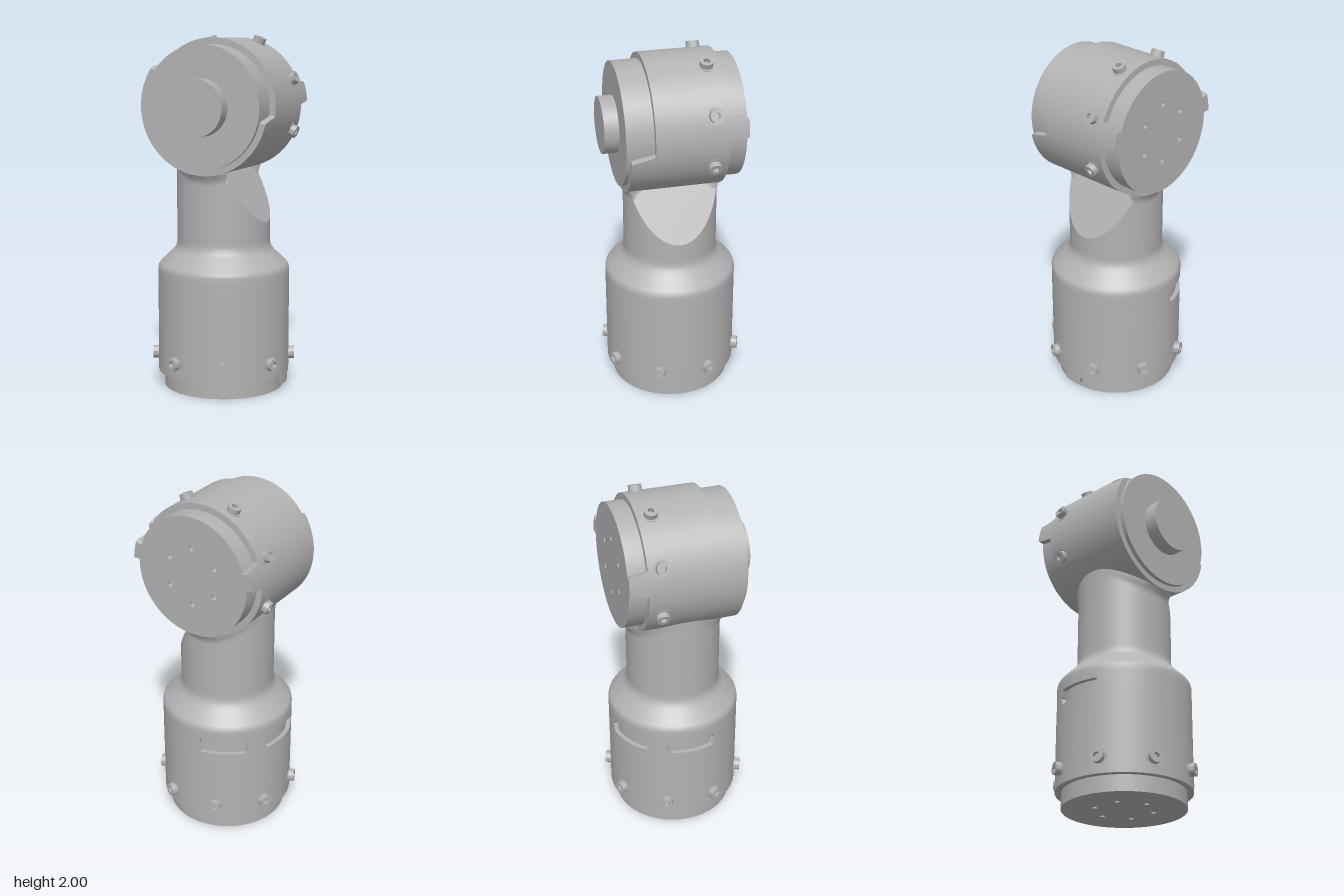
import * as THREE from 'three';
import { toCreasedNormals } from 'three/addons/utils/BufferGeometryUtils.js';

const rad = THREE.MathUtils.degToRad;
const R = 0.375;       // shell radius
const CORE = 0.34;     // inner body radius
const HEAD_Y = 1.61;   // height of the head axis

// Closed surface around y: column(deg) gives the [radius, y] points at each angle.
function revolve(n, column) {
  const pos = [], index = [];
  let rows = 0;
  for (let i = 0; i < n; i++) {
    const deg = (i * 360) / n, a = rad(deg), pts = column(deg);
    rows = pts.length;
    for (const [r, y] of pts) pos.push(r * Math.cos(a), y, -r * Math.sin(a));
  }
  for (let i = 0; i < n; i++) {
    for (let j = 0; j < rows - 1; j++) {
      const a = i * rows + j, b = ((i + 1) % n) * rows + j;
      index.push(a, b, b + 1, a, b + 1, a + 1);
    }
  }
  const g = new THREE.BufferGeometry();
  g.setAttribute('position', new THREE.Float32BufferAttribute(pos, 3));
  g.setIndex(index);
  return toCreasedNormals(g, 0.5);
}

// Ring wall whose lower and upper edges vary with the angle
function band(lo, hi) {
  return revolve(360, (d) => [[R, lo(d)], [R, hi(d)], [CORE, hi(d)], [CORE, lo(d)], [R, lo(d)]]);
}

// 1 inside centre +- half, 0 outside, with a rounded step
function tab(deg, centre, half, soft) {
  const d = Math.abs(((deg - centre + 540) % 360) - 180);
  return 1 - THREE.MathUtils.smoothstep(d, half - soft, half + soft);
}

function circle(shape, x, y, r, n = 16) {
  const path = new THREE.Path();
  for (let i = 0; i <= n; i++) {
    const a = (i / n) * Math.PI * 2;
    path[i ? 'lineTo' : 'moveTo'](x + r * Math.cos(a), y + r * Math.sin(a));
  }
  shape.holes.push(path);
}

// Round plate along z with six bolt holes
function holedPlate(depth) {
  const s = new THREE.Shape().absarc(0, 0, CORE, 0, Math.PI * 2);
  for (let k = 0; k < 6; k++) {
    const a = rad(30 + 60 * k);
    circle(s, 0.163 * Math.cos(a), 0.163 * Math.sin(a), 0.015);
  }
  const g = new THREE.ExtrudeGeometry(s, { depth, bevelEnabled: false, curveSegments: 96 });
  return toCreasedNormals(g, 0.5);
}

export function createModel() {
  const model = new THREE.Group();
  const grey = new THREE.MeshStandardMaterial({ color: 0xb2b2b2 });
  grey.name = 'grey';

  const add = (parent, name, geometry, x = 0, y = 0, z = 0) => {
    const m = new THREE.Mesh(geometry, grey);
    m.name = name;
    m.position.set(x, y, z);
    parent.add(m);
    return m;
  };

  // Socket head screw, pointing along +z
  const headShape = new THREE.Shape().absarc(0, 0, 0.036, 0, Math.PI * 2);
  circle(headShape, 0, 0, 0.019, 6);
  const headGeo = toCreasedNormals(
    new THREE.ExtrudeGeometry(headShape, { depth: 0.052, bevelEnabled: false, curveSegments: 24 }), 0.5);
  const shankGeo = new THREE.CylinderGeometry(0.028, 0.028, 0.03, 24).rotateX(Math.PI / 2);
  const seatGeo = new THREE.CylinderGeometry(0.046, 0.046, 0.008, 32).rotateX(Math.PI / 2);

  // Screws stand radially around the y axis of their parent
  function screw(parent, deg, y) {
    const s = new THREE.Group();
    s.name = 'screw';
    add(s, 'screwHead', headGeo, 0, 0, 0.355);
    add(s, 'screwShank', shankGeo, 0, 0, 0.367);
    add(s, 'screwSeat', seatGeo, 0, 0, 0.3715);
    s.position.y = y;
    s.rotation.y = rad(deg + 90);
    parent.add(s);
  }

  // ---- Lower body ----
  const lower = new THREE.Group();
  lower.name = 'lowerBody';
  model.add(lower);

  const plate = add(lower, 'basePlate', holedPlate(0.05), 0, 0.05, 0);
  plate.rotation.x = Math.PI / 2;
  add(lower, 'baseCore', new THREE.CylinderGeometry(CORE, CORE, 0.41, 96), 0, 0.245, 0);
  add(lower, 'slotFloor', new THREE.CylinderGeometry(0.35, 0.35, 0.22, 96), 0, 0.55, 0);

  // Shell in two rings that part to leave two slots
  const slot = (d) => Math.max(tab(d, 120, 21, 1.5), tab(d, 180, 21, 1.5));
  add(lower, 'lowerShell', band(
    (d) => 0.09 - 0.052 * tab(d, 0, 9, 1.5),
    (d) => 0.5825 - 0.0425 * slot(d)));
  add(lower, 'upperShell', band((d) => 0.5825 + 0.0425 * slot(d), () => 0.66));

  const shoulder = [[R, 0.66], [R, 0.685], [0.371, 0.702], [0.36, 0.718], [0.293, 0.782],
    [0.278, 0.799], [0.268, 0.82], [0.265, 0.84], [0.265, 0.86]];
  add(lower, 'shoulder', new THREE.LatheGeometry(shoulder.map((p) => new THREE.Vector2(...p)), 96));

  for (let k = 0; k < 8; k++) screw(lower, 22.5 + 45 * k, 0.18);

  // Neck with a slanted flat on the left and a flare under the head
  const NECK = 0.265;
  add(model, 'neck', revolve(180, (deg) => {
    const c = Math.cos(rad(deg)), s = Math.sin(rad(deg));
    const cutY = 0.96 + (0.264 - NECK * c) / 0.6;
    if (c > 0 && cutY < 1.2) {
      const pts = [[NECK, 0.86], [NECK, cutY]];
      for (let k = 1; k <= 4; k++) {
        const y = cutY + ((1.28 - cutY) * k) / 4;
        pts.push([(0.264 - (y - 0.96) * 0.6) / c, y]);
      }
      return pts;
    }
    const h = HEAD_Y - Math.sqrt(R * R - (NECK * c) ** 2);
    const f = 0.022 * s * s;
    return [[NECK, 0.86], [NECK, h - 0.06], [NECK, h - 0.045],
      [NECK + f * 0.3, h - 0.025], [NECK + f, h], [NECK + f, h + 0.04]];
  }));

  // ---- Head: built around y, then turned so its axis lies along z ----
  const head = new THREE.Group();
  head.name = 'head';
  head.position.y = HEAD_Y;
  head.rotation.x = Math.PI / 2;
  model.add(head);

  add(head, 'headShell', band(
    (d) => -0.24 - 0.103 * Math.max(tab(d, 10.5, 9.5, 1.5), tab(d, 169.5, 9.5, 1.5)),
    (d) => 0.16 + 0.126 * tab(d, 246.5, 103.5, 3)));
  add(head, 'headCore', new THREE.CylinderGeometry(CORE, CORE, 0.6, 96), 0, 0.01, 0);
  add(head, 'frontKnob', new THREE.CylinderGeometry(0.157, 0.157, 0.1, 64), 0, 0.34, 0);
  const back = add(head, 'backPlate', holedPlate(0.05), 0, -0.34, 0);
  back.rotation.x = -Math.PI / 2;

  for (let k = 0; k < 6; k++) screw(head, -22.5 + 45 * k, -0.163);

  return model;
}
